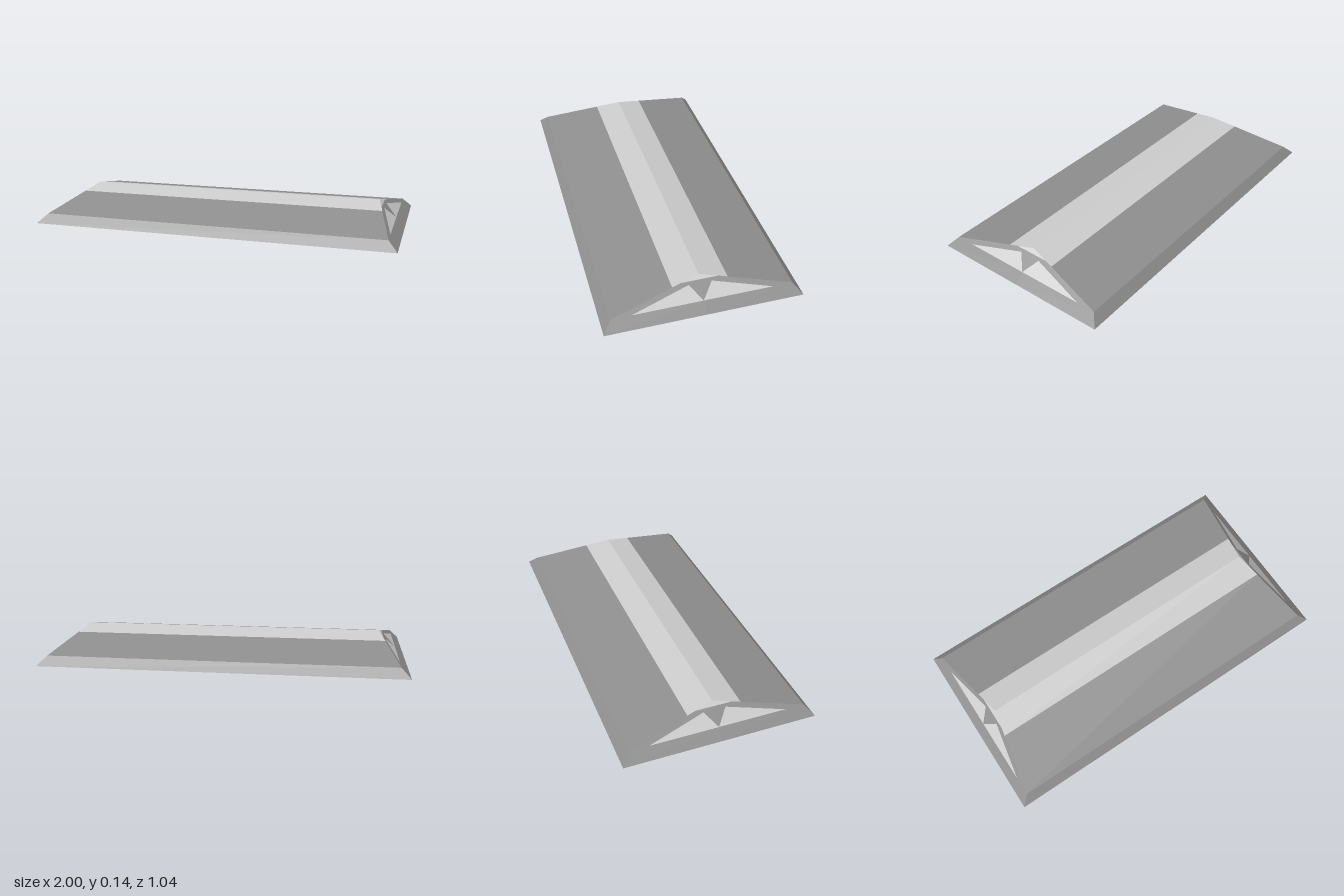
import * as THREE from 'three';

const makeMaterial = color => new THREE.MeshStandardMaterial({ color, flatShading: true, side: THREE.DoubleSide });
const light = makeMaterial(0xcccccc);
const dark = makeMaterial(0x8e8e8e);

// Cross-section as [z, y], from front eave over the ridge to the back eave
const eave = [0.52, 0], lip = [0.475, 0.05], knee = [0.145, 0.116], ridge = [0, 0.145];
const mirror = ([z, y]) => [-z, y];

// Both ends lean inwards at 45 degrees
const corner = ([z, y], side) => [side * (1 - y), y, z];

function polygonMesh(name, material, polygons) {
  const positions = [];
  for (const p of polygons)
    for (let i = 1; i < p.length - 1; i++) positions.push(...p[0], ...p[i], ...p[i + 1]);
  const geometry = new THREE.BufferGeometry();
  geometry.setAttribute('position', new THREE.Float32BufferAttribute(positions, 3));
  geometry.computeVertexNormals();
  const mesh = new THREE.Mesh(geometry, material);
  mesh.name = name;
  return mesh;
}

// A strip running the length of the roof between two profile points
const strip = (a, b) => [corner(a, -1), corner(a, 1), corner(b, 1), corner(b, -1)];

// Front half of a gable, split into dark frame and light infill
const panelFoot = [0.37, 0.05], panelTop = [0.06, 0.113], capFoot = [0.1, 0.125];
const base = [0, 0], sill = [0, 0.05], apex = [0, 0.125];
const frameParts = [
  [base, eave, lip, sill],
  [panelFoot, lip, capFoot, apex],
  [sill, panelTop, apex],
];
const infillParts = [
  [sill, panelFoot, panelTop],
  [apex, capFoot, ridge],
];

// Mirror the half front to back and face it outwards on the given end
function gableFaces(parts, side) {
  return parts.flatMap(part => {
    const front = part.map(p => corner(p, side));
    const back = part.map(p => corner(mirror(p), side));
    return side > 0 ? [front.reverse(), back] : [front, back.reverse()];
  });
}

export function createModel() {
  const group = new THREE.Group();
  group.name = 'roof';

  // Long sides: bevelled eaves, shallow slopes and a light ridge cap
  group.add(polygonMesh('frontEave', dark, [strip(eave, lip)]));
  group.add(polygonMesh('frontSlope', dark, [strip(lip, knee)]));
  group.add(polygonMesh('ridgeCap', light, [strip(knee, ridge), strip(ridge, mirror(knee))]));
  group.add(polygonMesh('backSlope', dark, [strip(mirror(knee), mirror(lip))]));
  group.add(polygonMesh('backEave', dark, [strip(mirror(lip), mirror(eave))]));

  // Leaning gable ends
  for (const [name, side] of [['leftGable', 1], ['rightGable', -1]]) {
    group.add(polygonMesh(name + 'Frame', dark, gableFaces(frameParts, side)));
    group.add(polygonMesh(name + 'Infill', light, gableFaces(infillParts, side)));
  }

  // Flat ceiling under the ridge, facing down into the open underside
  group.add(polygonMesh('ceiling', light, [strip(knee, mirror(knee)).reverse()]));
  return group;
}
